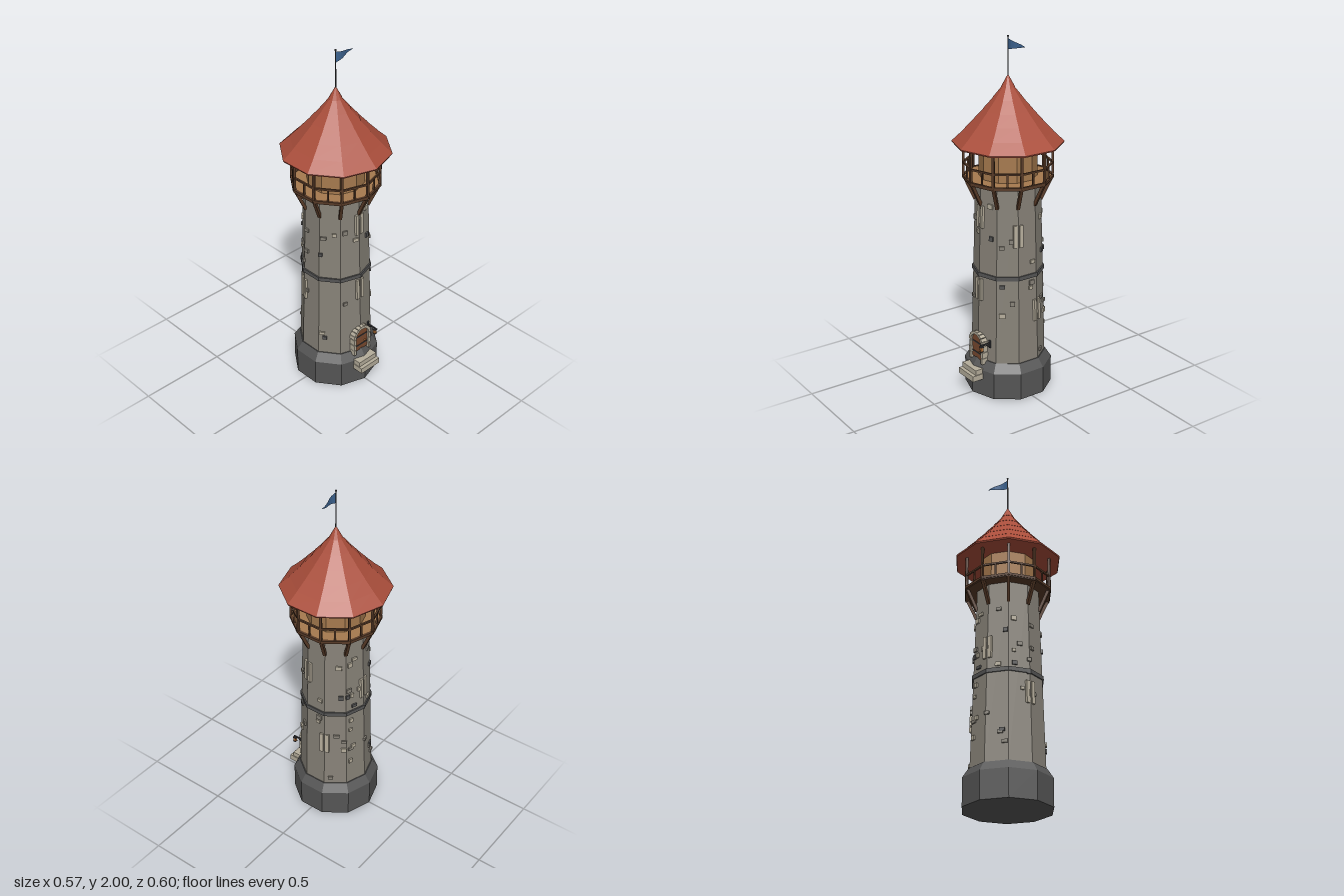
import * as THREE from 'three';

const mat = (name, color, extra = {}) => {
  const m = new THREE.MeshStandardMaterial({ color, flatShading: true, ...extra });
  m.name = name;
  return m;
};
const SIDES = 10, STEP = Math.PI * 2 / SIDES;

export function createModel() {
  const stone = mat('wall stone', 0x878278);
  const darkStone = mat('dark stone', 0x555555);
  const paleStone = mat('pale stone', 0xb5ad9b);
  const tile = mat('roof tile', 0xaa4e3b);
  const darkWood = mat('dark timber', 0x573a27);
  const wood = mat('light timber', 0xa67a4e);
  const doorWood = mat('door timber', 0x7a4a2f);
  const metal = mat('iron', 0x38393d);
  const cloth = mat('flag cloth', 0x3f6694, { side: THREE.DoubleSide });
  const amber = mat('lantern glass', 0xb8743a);

  const tower = new THREE.Group();
  tower.name = 'watchtower';

  const add = (name, geo, material, x = 0, y = 0, z = 0, parent = tower) => {
    const m = new THREE.Mesh(geo, material);
    m.name = name;
    m.position.set(x, y, z);
    parent.add(m);
    return m;
  };
  const box = (name, w, h, d, material, x, y, z, parent) =>
    add(name, new THREE.BoxGeometry(w, h, d), material, x, y, z, parent);
  // ten-sided drum between two heights, with a corner facing the front
  const drum = (name, r0, r1, y0, y1, material) =>
    add(name, new THREE.CylinderGeometry(r1, r0, y1 - y0, SIDES), material, 0, (y0 + y1) / 2);
  // square beam between two points
  const beam = (name, a, b, t, material, parent) => {
    const m = box(name, t, t, a.distanceTo(b), material, 0, 0, 0, parent);
    m.position.copy(a).add(b).multiplyScalar(0.5);
    m.quaternion.setFromUnitVectors(new THREE.Vector3(0, 0, 1), b.clone().sub(a).normalize());
    return m;
  };
  const polar = (r, a, y) => new THREE.Vector3(r * Math.sin(a), y, r * Math.cos(a));
  const wallRadius = y => 0.207 - 0.03 * (y - 0.2) / 1.04;
  const turned = (name, a) => {
    const g = new THREE.Group();
    g.name = name;
    g.rotation.y = a;
    tower.add(g);
    return g;
  };

  // masonry shaft
  drum('plinth', 0.245, 0.245, 0, 0.155, darkStone);
  drum('plinthSlope', 0.245, 0.212, 0.155, 0.205, darkStone);
  drum('shaft', 0.207, 0.177, 0.2, 1.24, stone);
  drum('stringCourse', 0.2, 0.2, 0.697, 0.72, darkStone);

  // watch room and gallery floor
  drum('watchRoom', 0.158, 0.158, 1.24, 1.435, wood);
  drum('galleryJoists', 0.246, 0.246, 1.224, 1.234, darkWood);
  drum('galleryFloor', 0.247, 0.247, 1.234, 1.241, wood);

  // gallery posts, braces and rails
  for (let i = 0; i < SIDES; i++) {
    const a = i * STEP, b = a + STEP, mid = a + STEP / 2;
    const bay = turned('galleryPost', a);
    box('post', 0.013, 0.195, 0.013, darkWood, 0, 1.3325, 0.24, bay);
    beam('brace', new THREE.Vector3(0, 1.105, 0.178), new THREE.Vector3(0, 1.232, 0.236), 0.017, darkWood, bay);
    beam('handrail', polar(0.24, a, 1.314), polar(0.24, b, 1.314), 0.01, darkWood);
    beam('floorRail', polar(0.242, a, 1.237), polar(0.242, b, 1.237), 0.014, darkWood);
    const side = turned('baluster', mid);
    box('balusterStick', 0.009, 0.075, 0.009, darkWood, 0, 1.278, 0.228, side);
  }

  // overlapping roof tiers, steeper towards the top
  const TIERS = 6, y0 = 1.432, rise = 0.36;
  const roofRadius = t => 0.302 * Math.pow(1 - t, 1.18);
  drum('eaves', 0.299, 0.302, 1.424, y0, tile);
  for (let i = 0; i < TIERS; i++) {
    const t = i / TIERS, u = (i + 1) / TIERS;
    const top = i === TIERS - 1 ? 0.002 : roofRadius(u) - 0.006;
    drum('roofTier', roofRadius(t), top, y0 + rise * t - (i ? 0.004 : 0), y0 + rise * u, tile);
  }

  // flagpole and pennant
  add('flagpole', new THREE.CylinderGeometry(0.003, 0.004, 0.215, 6), metal, 0, 1.885);
  add('finial', new THREE.SphereGeometry(0.006, 8, 6), metal, 0, 1.994);
  const pennant = new THREE.PlaneGeometry(1, 1, 8, 1);
  const p = pennant.attributes.position;
  for (let i = 0; i < p.count; i++) {
    const s = p.getX(i) + 0.5;
    p.setXYZ(i, 0.135 * s, 1.955 + p.getY(i) * 0.06 * (1 - s), 0.006 * Math.sin(s * 6) - 0.01 * s);
  }
  pennant.computeVertexNormals();
  add('pennant', pennant, cloth);

  // slit windows on the corners: [corner, height of centre]
  for (const [corner, y] of [[0, 1.04], [0, 0.62], [2, 0.95], [3, 0.5], [5, 0.845], [7, 0.59]]) {
    const g = turned('slitWindow', corner * STEP), r = wallRadius(y);
    for (const s of [-1, 1]) {
      const jamb = box('windowJamb', 0.02, 0.125, 0.024, paleStone, s * 0.0165, y, r - 0.007, g);
      jamb.rotation.x = -0.029;
    }
  }

  // doorway with arched stone surround
  const arch = (w, spring, base) => {
    const s = new THREE.Shape();
    s.moveTo(-w, base);
    s.lineTo(w, base);
    s.lineTo(w, spring);
    s.absarc(0, spring, w, 0, Math.PI, false);
    s.lineTo(-w, base);
    return s;
  };
  const extrude = (shape, depth) =>
    new THREE.ExtrudeGeometry(shape, { depth, bevelEnabled: false, curveSegments: 10 });
  add('door', extrude(arch(0.049, 0.297, 0.2), 0.03), doorWood, 0, 0, 0.18);
  const archY = 0.299;
  for (const s of [-1, 1]) {
    for (let i = 0; i < 3; i++) {
      box('doorJambStone', 0.015 + (i % 2) * 0.004, 0.034, 0.045, paleStone, s * 0.056, 0.203 + i * 0.037, 0.199);
    }
  }
  for (let i = 0; i < 9; i++) {
    const a = (i + 0.5) / 9 * Math.PI;
    const v = box('archStone', 0.017, 0.0195, 0.045, paleStone, 0.057 * Math.cos(a), archY + 0.057 * Math.sin(a), 0.199);
    v.rotation.z = a;
  }
  for (const y of [0.235, 0.297]) box('doorBand', 0.092, 0.007, 0.004, metal, 0, y, 0.211);
  add('doorHandle', new THREE.SphereGeometry(0.006, 8, 6), amber, 0.028, 0.25, 0.214);

  // entrance steps
  box('lowerStep', 0.142, 0.034, 0.08, paleStone, 0, 0.118, 0.248);
  box('upperStep', 0.134, 0.03, 0.07, paleStone, 0, 0.149, 0.232);

  // lantern on a bracket beside the door
  const lantern = new THREE.Group();
  lantern.name = 'lantern';
  lantern.position.set(0.083, 0, 0);
  tower.add(lantern);
  box('bracketPlate', 0.012, 0.045, 0.008, metal, 0, 0.312, 0.182, lantern);
  box('bracketArm', 0.007, 0.007, 0.066, metal, 0, 0.318, 0.212, lantern);
  beam('bracketStay', new THREE.Vector3(0, 0.295, 0.182), new THREE.Vector3(0, 0.317, 0.215), 0.005, metal, lantern);
  box('lanternGlass', 0.014, 0.022, 0.014, amber, 0, 0.296, 0.238, lantern);
  box('lanternCap', 0.02, 0.006, 0.02, metal, 0, 0.31, 0.238, lantern);
  box('lanternFoot', 0.018, 0.004, 0.018, metal, 0, 0.283, 0.238, lantern);

  // proud stones scattered over the wall faces
  const wallStone = (a, y, w, h, material) => {
    const face = Math.floor(a / STEP), mid = (face + 0.5) * STEP;
    const g = turned('proudStone', mid);
    const r = wallRadius(y) * Math.cos(STEP / 2);
    const b = box('stoneBlock', w, h, 0.016, material, r * Math.tan(a - mid), y, r + 0.001, g);
    b.rotation.x = -0.028;
  };
  const deg = Math.PI / 180;
  const placed = [
    [-46, 1.0], [-28, 1.01], [-7, 0.95], [25, 0.93], [44, 0.885], [22, 1.11], [-28, 0.545],
    [44, 0.49], [45, 0.66], [60, 0.92], [100, 0.79], [98, 0.67], [96, 0.64], [136, 0.82],
    [128, 0.55], [47, 0.49], [118, 0.245], [132, 1.02], [-62, 0.31], [62, 0.56],
  ];
  const tones = [paleStone, stone, paleStone, darkStone, stone];
  placed.forEach(([a, y], i) =>
    wallStone(a * deg, y, 0.024 + (i % 3) * 0.004, 0.02 + (i % 2) * 0.006, tones[i % 5]));
  let seed = 17;
  const rand = () => (seed = (seed * 16807) % 2147483647) / 2147483647;
  for (let i = 0; i < 34; i++) {
    const a = (140 + 155 * rand()) * deg;
    wallStone(a, 0.25 + 0.85 * rand(), 0.02 + 0.014 * rand(), 0.017 + 0.01 * rand(), tones[i % 5]);
  }

  return tower;
}
